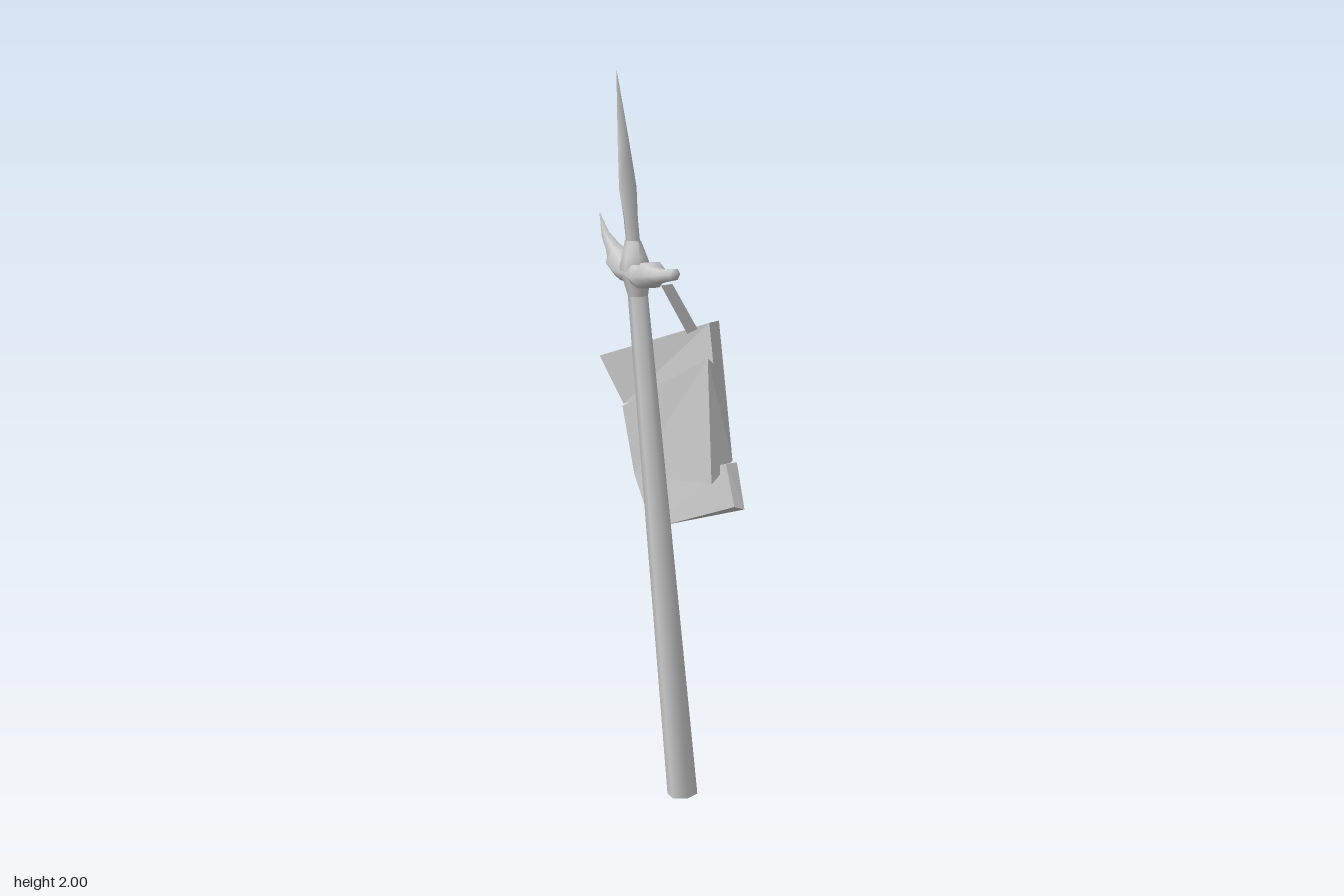
import * as THREE from 'three';

const steel = new THREE.MeshStandardMaterial({ color: 0xcccccc, side: THREE.DoubleSide });
steel.name = 'paleSteel';

function build(name, positions, index) {
  const g = new THREE.BufferGeometry();
  g.setAttribute('position', new THREE.Float32BufferAttribute(positions, 3));
  g.setIndex(index);
  const geo = name.startsWith('banner') ? g.toNonIndexed() : g; // banner stays hard-edged
  geo.computeVertexNormals();
  const mesh = new THREE.Mesh(geo, steel);
  mesh.name = name;
  return mesh;
}

// Tube through stations [x, y, z, radiusU, radiusV], open at both ends
function loft(name, stations, u, v, sides, cap) {
  const pos = [], idx = [];
  stations.forEach(([x, y, z, a, b], i) => {
    for (let j = 0; j < sides; j++) {
      const t = (j / sides) * Math.PI * 2, c = Math.cos(t) * a, s = Math.sin(t) * b;
      pos.push(x + u[0] * c + v[0] * s, y + u[1] * c + v[1] * s, z + u[2] * c + v[2] * s);
      if (i < stations.length - 1) {
        const p = i * sides + j, q = i * sides + (j + 1) % sides;
        idx.push(p, p + sides, q, q, p + sides, q + sides);
      }
    }
  });
  if (cap) for (let j = 1; j < sides - 1; j++) idx.push(0, j, j + 1);
  return build(name, pos, idx);
}

// Slab from four outer and four inner corners
function slab(name, outer, inner) {
  const idx = [0, 2, 1, 0, 3, 2, 4, 5, 6, 4, 6, 7];
  for (let i = 0; i < 4; i++) {
    const j = (i + 1) % 4;
    idx.push(i, j, j + 4, i, j + 4, i + 4);
  }
  return build(name, [...outer, ...inner].flat(), idx);
}

export function createModel() {
  const group = new THREE.Group();
  const X = [1, 0, 0], Y = [0, 1, 0], Z = [0, 0, 1];

  // Leaning shaft, collar and leaf-shaped blade share one axis
  const onAxis = ([y, a, b]) => [-0.025 + 0.011 * Math.min(y, 1.5), y, 0.117 - 0.118 * y, a, b];
  group.add(loft('shaft', [[0, 0.047, 0.04], [0.75, 0.036, 0.034], [1.42, 0.026, 0.028]].map(onAxis), X, Z, 6));
  group.add(loft('collar', [[1.38, 0.024, 0.026], [1.43, 0.036, 0.036], [1.465, 0.048, 0.042],
    [1.5, 0.034, 0.034], [1.54, 0.017, 0.024]].map(onAxis), X, Z, 6));
  group.add(loft('blade', [[1.53, 0.017, 0.024], [1.6, 0.025, 0.024], [1.68, 0.039, 0.026],
    [1.8, 0.026, 0.018], [1.995, 0.0005, 0.0005]].map(onAxis), X, Z, 4));

  // Diagonal crossguard with one blunt arm and one upswept point
  group.add(loft('crossguard', [
    [-0.14, 1.485, 0.17, 0.016, 0.017], [-0.132, 1.475, 0.12, 0.024, 0.02],
    [-0.105, 1.468, 0.075, 0.033, 0.028], [-0.085, 1.465, 0.05, 0.054, 0.04],
    [-0.05, 1.45, 0.005, 0.042, 0.03], [-0.01, 1.455, -0.055, 0.042, 0.03],
    [0.035, 1.45, -0.115, 0.044, 0.032], [0.062, 1.465, -0.15, 0.053, 0.04],
    [0.085, 1.475, -0.185, 0.034, 0.028], [0.105, 1.49, -0.215, 0.025, 0.022],
    [0.122, 1.52, -0.255, 0.014, 0.016], [0.13, 1.583, -0.284, 0.001, 0.001],
  ], [0.86, 0, 0.5], Y, 6, true));

  // Straps from the guard to the banner
  const strap = (name, a, b, c, d) => group.add(build(name, [a, b, c, d].flat(), [0, 1, 2, 0, 2, 3]));
  strap('frontStrap', [-0.04, 1.44, 0.09], [-0.03, 1.43, 0.045], [0.05, 1.29, 0.075], [0.035, 1.31, 0.12]);
  strap('rearStrap', [0.07, 1.45, -0.10], [0.085, 1.45, -0.16], [0.115, 1.2, -0.15], [0.105, 1.2, -0.105]);

  // Banner: three stiff bands, corners in order front top, rear top, rear bottom, front bottom
  group.add(slab('bannerTop',
    [[0.085, 1.33, 0.155], [0.152, 1.165, -0.25], [0.122, 1.055, -0.19], [0.075, 1.19, 0.18]],
    [[0.04, 1.33, 0.155], [0.095, 1.185, -0.26], [0.1, 1.055, -0.18], [0.03, 1.19, 0.18]]));
  group.add(slab('bannerMiddle',
    [[0.075, 1.19, 0.18], [0.122, 1.045, -0.18], [0.116, 0.86, -0.135], [0.06, 0.955, 0.22]],
    [[0.005, 1.24, 0.175], [0.095, 1.05, -0.18], [0.09, 0.86, -0.135], [-0.01, 0.9, 0.2]]));
  group.add(slab('bannerBottom',
    [[0.052, 0.955, 0.24], [0.116, 0.86, -0.135], [0.088, 0.722, -0.05], [0.027, 0.835, 0.283]],
    [[0.015, 0.955, 0.23], [0.09, 0.86, -0.135], [0.06, 0.722, -0.05], [0, 0.845, 0.268]]));
  return group;
}
